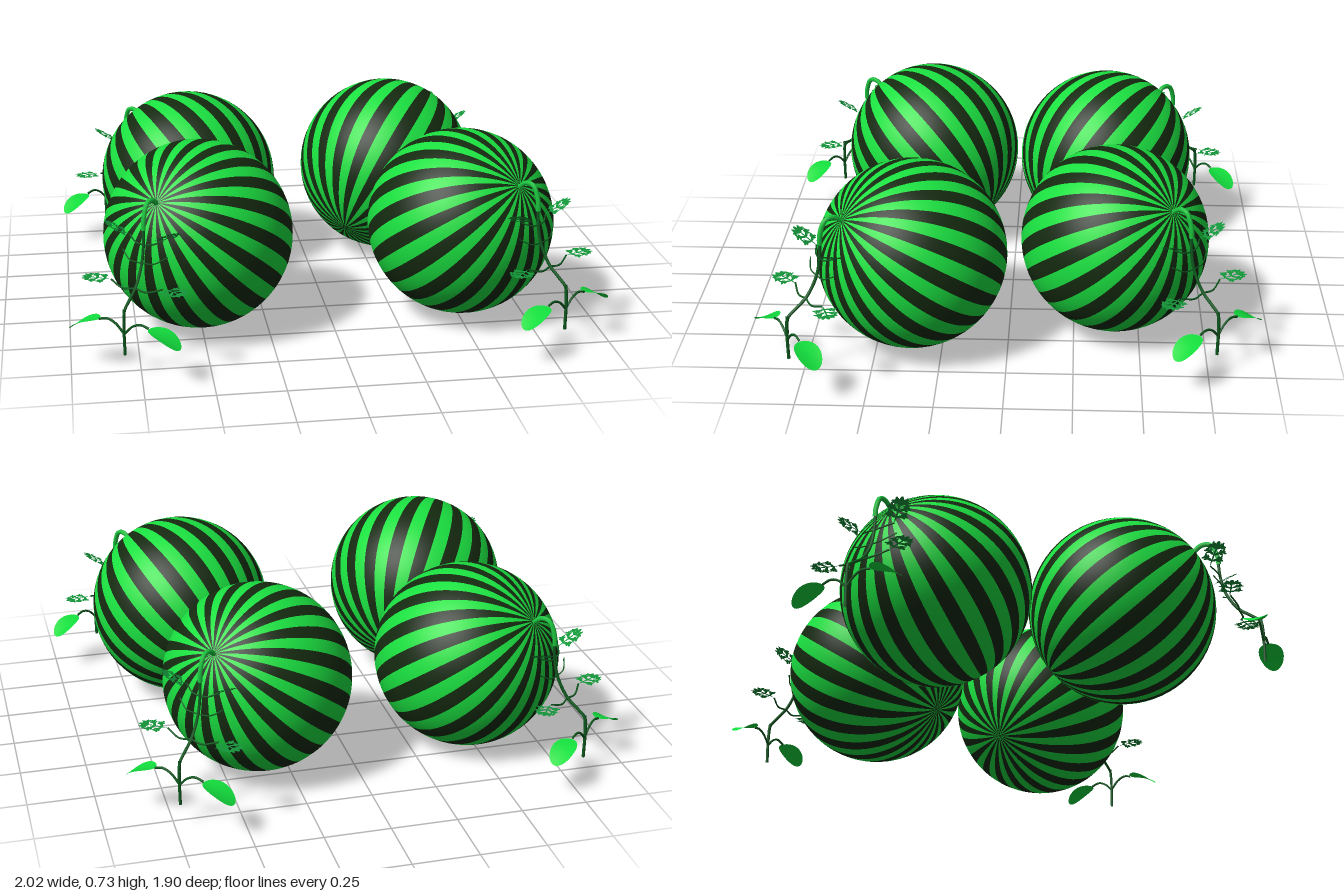
import * as THREE from 'three';
import { mergeGeometries } from 'three/addons/utils/BufferGeometryUtils.js';

const R = 0.357, STRIPES = 20, CY = 0.375;
const mat = (color, side = THREE.FrontSide) => new THREE.MeshStandardMaterial({ color, side });
const rindLight = mat(0x1ae040), rindDark = mat(0x14290f), vineMat = mat(0x0d5a1e);
const stalkMat = mat(0x1cc840), leafMat = mat(0x12dc3c, THREE.DoubleSide), frondMat = mat(0x14963a, THREE.DoubleSide);

function part(name, geometry, material) {
  const m = new THREE.Mesh(geometry, material);
  m.name = name;
  return m;
}

// Smooth round stem through points; heights are measured from the ground
function stem(points, radius, segments = 20) {
  const pts = points.map(([x, y, z]) => new THREE.Vector3(x, y - CY, z));
  return new THREE.TubeGeometry(new THREE.CatmullRomCurve3(pts), segments, radius, 6);
}

// Every second wedge of the rind, merged into one striped skin
function stripes(offset) {
  const step = Math.PI * 2 / STRIPES, wedges = [];
  for (let i = 0; i < STRIPES; i++) {
    wedges.push(new THREE.SphereGeometry(R, 3, 36, Math.PI / 2 - step / 4 + offset * step / 2 + i * step, step / 2));
  }
  return mergeGeometries(wedges);
}

// Flat oval lying in XZ, starting at (x, z) and pointing along yaw
function lobe(x, z, yaw, length, width) {
  return new THREE.CircleGeometry(1, 10).rotateX(-Math.PI / 2)
    .scale(width / 2, 1, length / 2).translate(0, 0, length / 2).rotateY(yaw).translate(x, 0, z);
}

// Feathery divided leaf: midrib, side ribs and small lobes, pointing +z
function frondGeometry() {
  const parts = [lobe(0, 0, 0, 0.1, 0.007), lobe(0, 0.078, 0, 0.032, 0.017)];
  for (let i = 0; i < 3; i++) {
    const z = 0.022 + i * 0.026, len = [0.042, 0.046, 0.032][i];
    for (const s of [-1, 1]) {
      const yaw = s * (1.15 - i * 0.12);
      parts.push(lobe(0, z, yaw, len, 0.012));
      for (const f of [0.45, 0.72]) {
        const x = Math.sin(yaw) * len * f, zz = z + Math.cos(yaw) * len * f;
        for (const q of [-0.8, 0.8]) parts.push(lobe(x, zz, yaw + q, 0.018, 0.009));
      }
    }
  }
  return mergeGeometries(parts);
}

// Broad seed leaf, cupped across and drooping along its length
function seedLeafGeometry() {
  const g = new THREE.RingGeometry(0.001, 1, 28, 5).rotateX(-Math.PI / 2)
    .scale(0.046, 1, 0.066).translate(0, 0, 0.066);
  const p = g.attributes.position;
  for (let i = 0; i < p.count; i++) {
    const x = p.getX(i), z = p.getZ(i);
    p.setY(i, 3 * x * x - 2.2 * z * z);
  }
  g.computeVertexNormals();
  return g;
}

function place(mesh, [x, y, z], yaw, pitch) {
  mesh.position.set(x, y - CY, z);
  mesh.rotation.set(pitch, yaw, 0, 'YXZ');
  return mesh;
}

function createPlant(skins, frond, seedLeaf) {
  const plant = new THREE.Group();

  // Striped fruit, its stalk end tipped outward
  const fruit = new THREE.Group();
  fruit.name = 'melon';
  fruit.add(part('darkStripes', skins[0], rindDark), part('lightStripes', skins[1], rindLight));
  fruit.rotation.x = THREE.MathUtils.degToRad(54);
  plant.add(fruit);

  // Hooked stalk running into the hanging vine
  plant.add(part('stalk', stem([[0, 0.575, 0.28], [0, 0.605, 0.32], [0, 0.6, 0.355], [0, 0.55, 0.378], [0, 0.51, 0.382]], 0.0095), stalkMat));
  const runners = [
    stem([[0, 0.53, 0.38], [0, 0.47, 0.383], [0, 0.39, 0.4], [0, 0.315, 0.445], [0, 0.28, 0.49], [0, 0.25, 0.525], [0, 0.19, 0.53]], 0.006, 36),
    stem([[0, 0.26, 0.525], [0, 0.2, 0.531], [0, 0.085, 0.53]], 0.006),
  ];

  for (const s of [-1, 1]) {
    const a = [s * 0.07, 0.475, 0.36], b = [s * 0.11, 0.322, 0.435], c = [s * 0.105, 0.205, 0.53];
    // Side shoots and one bare tendril
    runners.push(
      stem([[0, 0.455, 0.385], [s * 0.035, 0.46, 0.381], a], 0.003),
      stem([[0, 0.39, 0.4], [s * 0.05, 0.395, 0.398], [s * 0.095, 0.42, 0.375]], 0.0025),
      stem([[0, 0.31, 0.447], [s * 0.05, 0.305, 0.452], b], 0.0035),
      stem([[0, 0.165, 0.53], [s * 0.035, 0.2, 0.53], [s * 0.07, 0.213, 0.53], c], 0.0045),
    );
    // Leaves at the shoot ends
    plant.add(
      place(part('upperFrond', frond, frondMat), a, s * 0.95, -0.55),
      place(part('lowerFrond', frond, frondMat), b, s * 1.3, -0.05),
      place(part('seedLeaf', seedLeaf, leafMat), c, s * Math.PI / 2, 0.15),
    );
  }
  plant.add(part('vine', mergeGeometries(runners), vineMat));
  return plant;
}

export function createModel() {
  const model = new THREE.Group();
  model.name = 'melonPatch';
  const skins = [stripes(0), stripes(1)], frond = frondGeometry(), seedLeaf = seedLeafGeometry();

  // Centre of each fruit and the ground direction its stalk points to
  const spots = [
    ['frontLeftPlant', 0.508, 0.375, 0.36, 0.574, 0.82],
    ['frontRightPlant', -0.503, 0.375, 0.356, -0.574, 0.82],
    ['backLeftPlant', 0.353, 0.375, -0.402, 0.717, -0.727],
    ['backRightPlant', -0.485, 0.36, -0.375, -0.64, -0.77],
  ];
  for (const [name, x, y, z, dx, dz] of spots) {
    const plant = createPlant(skins, frond, seedLeaf);
    plant.name = name;
    plant.position.set(x, y, z);
    plant.rotation.y = Math.atan2(dx, dz);
    model.add(plant);
  }
  return model;
}
